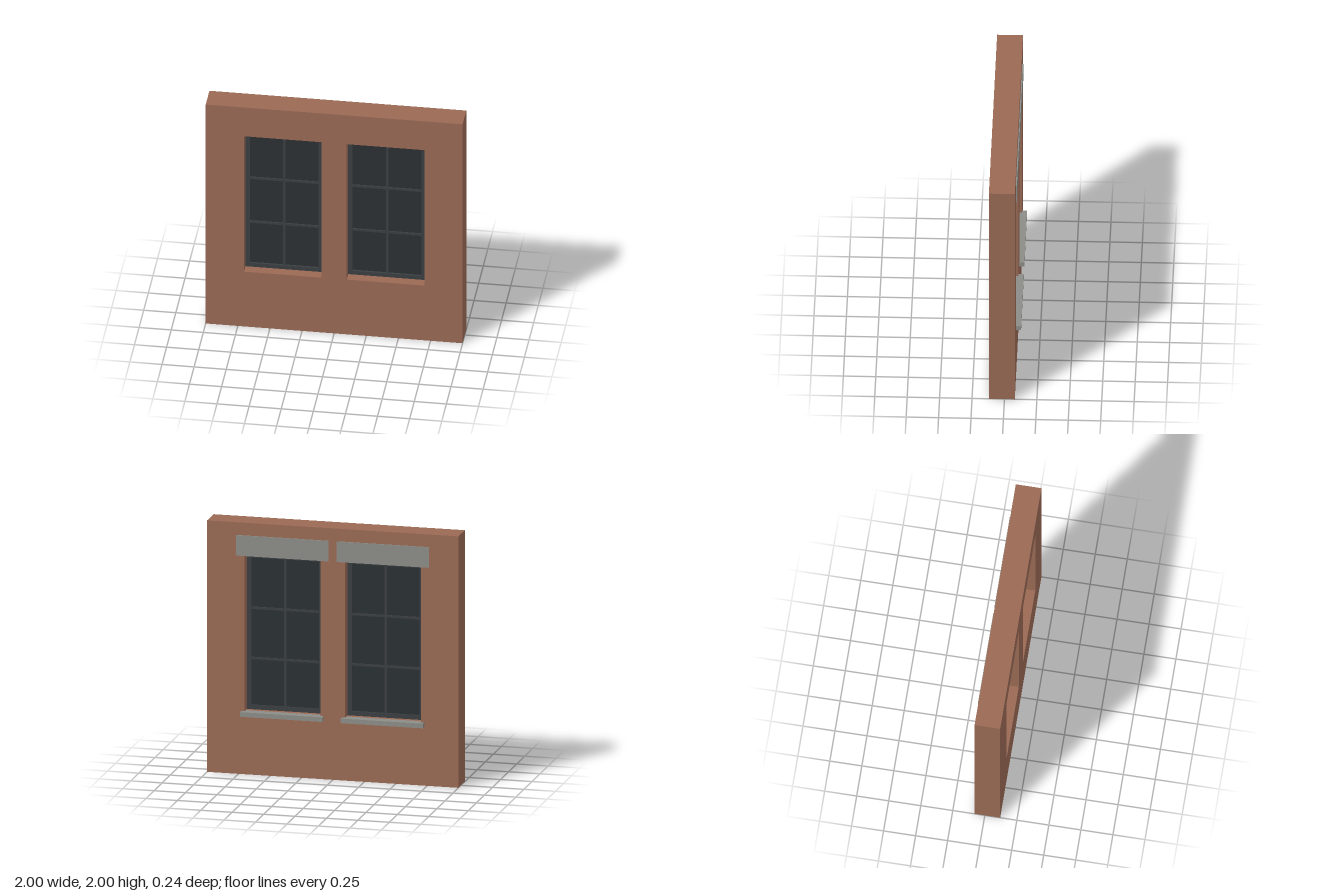
import * as THREE from 'three';

const BRICK = 0x9a6a55, STONE = 0x8c8c87, FRAME = 0x3a3f42, GLASS = 0x2b3033;
const mat = (color) => new THREE.MeshStandardMaterial({ color });

// Opening and wall dimensions
const BOTTOM = 0.5, TOP = 1.737, HALF = 0.302, BACK = -0.08, FRONT = 0.12;
const BORDER = 0.034, BAR = 0.018, FRAME_Z = 0.02;

function rect(path, x0, x1, y0, y1) {
  path.moveTo(x0, y0);
  path.lineTo(x1, y0);
  path.lineTo(x1, y1);
  path.lineTo(x0, y1);
  path.closePath();
  return path;
}

function box(name, material, x0, x1, y0, y1, z0, z1) {
  const mesh = new THREE.Mesh(new THREE.BoxGeometry(x1 - x0, y1 - y0, z1 - z0), material);
  mesh.position.set((x0 + x1) / 2, (y0 + y1) / 2, (z0 + z1) / 2);
  mesh.name = name;
  return mesh;
}

function extrude(name, material, shape, z0, z1) {
  const geometry = new THREE.ExtrudeGeometry(shape, { depth: z1 - z0, bevelEnabled: false });
  const mesh = new THREE.Mesh(geometry, material);
  mesh.position.z = z0;
  mesh.name = name;
  return mesh;
}

function createWindow(m) {
  const g = new THREE.Group();
  const inX = HALF - BORDER, inB = BOTTOM + BORDER, inT = TOP - 0.03;

  // Outer frame
  const shape = rect(new THREE.Shape(), -HALF, HALF, BOTTOM, TOP);
  shape.holes.push(rect(new THREE.Path(), -inX, inX, inB, inT));
  g.add(extrude('frame', m.frame, shape, FRAME_Z - 0.02, FRAME_Z + 0.02));

  // Glass and glazing bars
  g.add(box('glass', m.glass, -inX, inX, inB, inT, FRAME_Z - 0.004, FRAME_Z + 0.004));
  const b = BAR / 2, z0 = FRAME_Z - 0.014, z1 = FRAME_Z + 0.014;
  g.add(box('verticalBar', m.frame, -b, b, inB, inT, z0, z1));
  for (const y of [0.905, 1.305]) {
    g.add(box('horizontalBar', m.frame, -inX, inX, y - b, y + b, z0, z1));
  }

  // Stone sill and lintel on the back face
  g.add(box('sill', m.stone, -0.328, 0.328, 0.465, 0.502, -0.12, -0.045));
  g.add(box('lintel', m.stone, -0.367, 0.367, TOP, 1.9, BACK - 0.009, BACK + 0.01));
  return g;
}

export function createModel() {
  const model = new THREE.Group();
  model.name = 'windowWall';
  const m = { brick: mat(BRICK), stone: mat(STONE), frame: mat(FRAME), glass: mat(GLASS) };

  // Wall with two openings
  const wall = rect(new THREE.Shape(), -1, 1, 0, 2);
  for (const x of [-0.4, 0.4]) {
    wall.holes.push(rect(new THREE.Path(), x - HALF, x + HALF, BOTTOM, TOP));
  }
  model.add(extrude('wall', m.brick, wall, BACK, FRONT));

  // One window per opening
  for (const [name, x] of [['rightWindow', -0.4], ['leftWindow', 0.4]]) {
    const w = createWindow(m);
    w.name = name;
    w.position.x = x;
    model.add(w);
  }
  return model;
}
